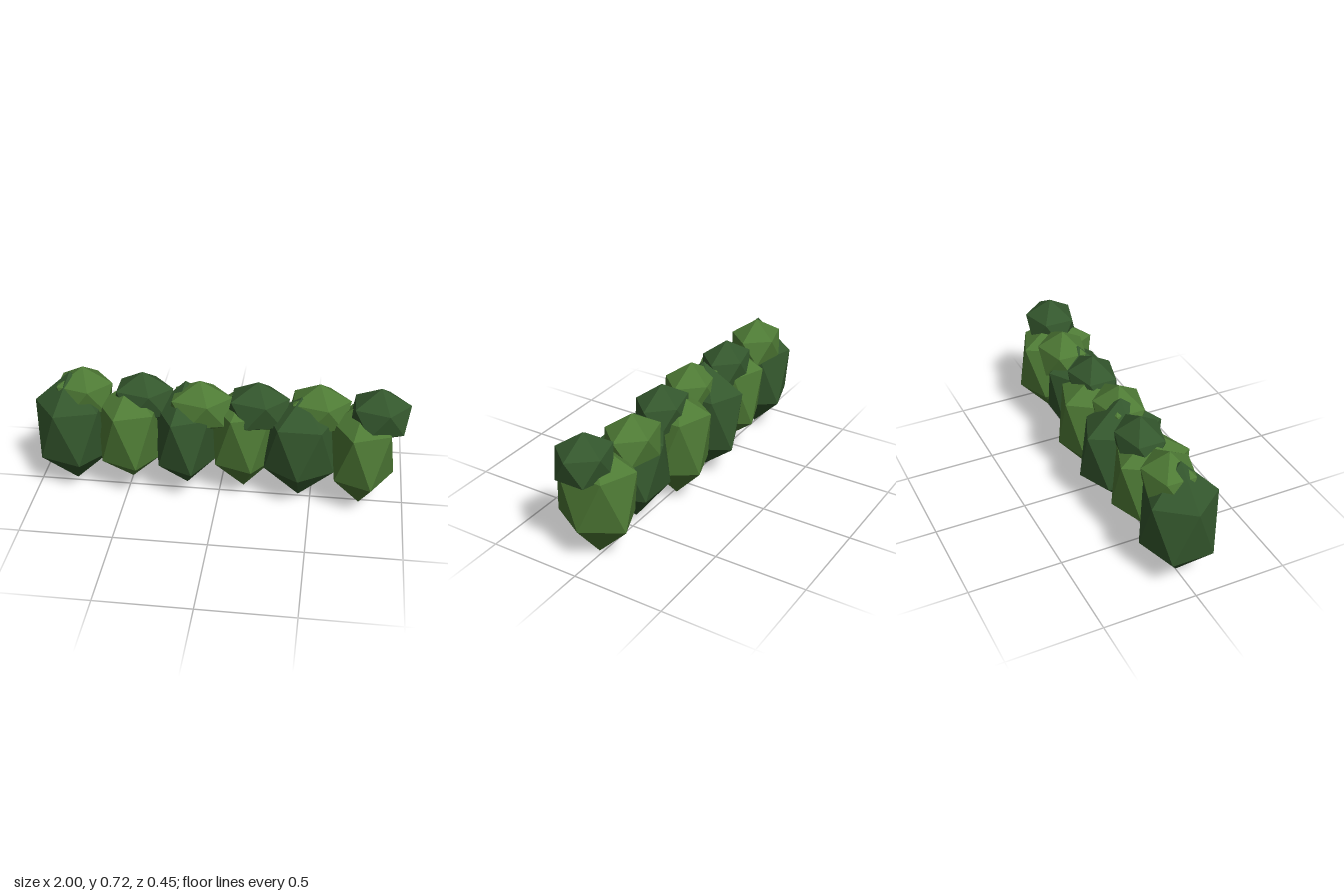
import * as THREE from 'three';

// Faceted leaf clump: a vertex-up icosahedron with its four levels moved to given heights.
// levels = [bottom tip, lower ring, upper ring, top tip]
function clumpGeometry(rx, rz, levels, yaw) {
  const g = new THREE.IcosahedronGeometry(1, 0).toNonIndexed();
  g.rotateZ(Math.atan(2 / (1 + Math.sqrt(5))));
  g.rotateY(yaw);
  const p = g.attributes.position;
  const ring = 2 / Math.sqrt(5);
  for (let i = 0; i < p.count; i++) {
    const y = p.getY(i);
    const level = y < -0.7 ? 0 : y < 0 ? 1 : y < 0.7 ? 2 : 3;
    p.setXYZ(i, (p.getX(i) / ring) * rx, levels[level], (p.getZ(i) / ring) * rz);
  }
  g.computeVertexNormals();
  return g;
}

export function createModel() {
  const hedge = new THREE.Group();
  hedge.name = 'hedge';
  const darkLeaf = new THREE.MeshStandardMaterial({ color: 0x34572d });
  darkLeaf.name = 'dark leaf green';
  const lightLeaf = new THREE.MeshStandardMaterial({ color: 0x4e7a35 });
  lightLeaf.name = 'light leaf green';

  const add = (name, geometry, material, x, z) => {
    const mesh = new THREE.Mesh(geometry, material);
    mesh.name = name;
    mesh.position.set(x, 0, z);
    hedge.add(mesh);
  };

  // Tall bushes in a row: x, z, x radius, z radius, levels, yaw
  [
    [-0.8, -0.005, 0.2, 0.19, [0.015, 0.205, 0.505, 0.69], 0],
    [-0.48, 0.005, 0.175, 0.2, [0.06, 0.22, 0.52, 0.645], 0],
    [-0.18, -0.015, 0.168, 0.222, [0.03, 0.21, 0.51, 0.67], 0],
    [0.13, -0.035, 0.178, 0.186, [0.02, 0.215, 0.525, 0.625], 0],
    [0.435, 0.02, 0.195, 0.172, [0.025, 0.215, 0.5, 0.635], -Math.PI / 10],
    [0.765, 0.02, 0.172, 0.215, [0, 0.212, 0.505, 0.63], 0],
  ].forEach(([x, z, rx, rz, levels, yaw], i) => {
    add('bush' + (i + 1), clumpGeometry(rx, rz, levels, yaw), i % 2 ? lightLeaf : darkLeaf, x, z);
  });

  // Small clumps resting on top: x, z, x radius, z radius, top height
  [
    [-0.735, -0.03, 0.158, 0.135, 0.71],
    [-0.41, -0.02, 0.162, 0.125, 0.705],
    [-0.1, 0.015, 0.172, 0.135, 0.692],
    [0.205, 0.005, 0.167, 0.13, 0.7],
    [0.525, -0.03, 0.167, 0.135, 0.69],
    [0.84, 0.03, 0.158, 0.14, 0.72],
  ].forEach(([x, z, rx, rz, top], i) => {
    const levels = [top - 0.305, top - 0.222, top - 0.09, top];
    add('topClump' + (i + 1), clumpGeometry(rx, rz, levels, Math.PI), i % 2 ? darkLeaf : lightLeaf, x, z);
  });

  return hedge;
}
